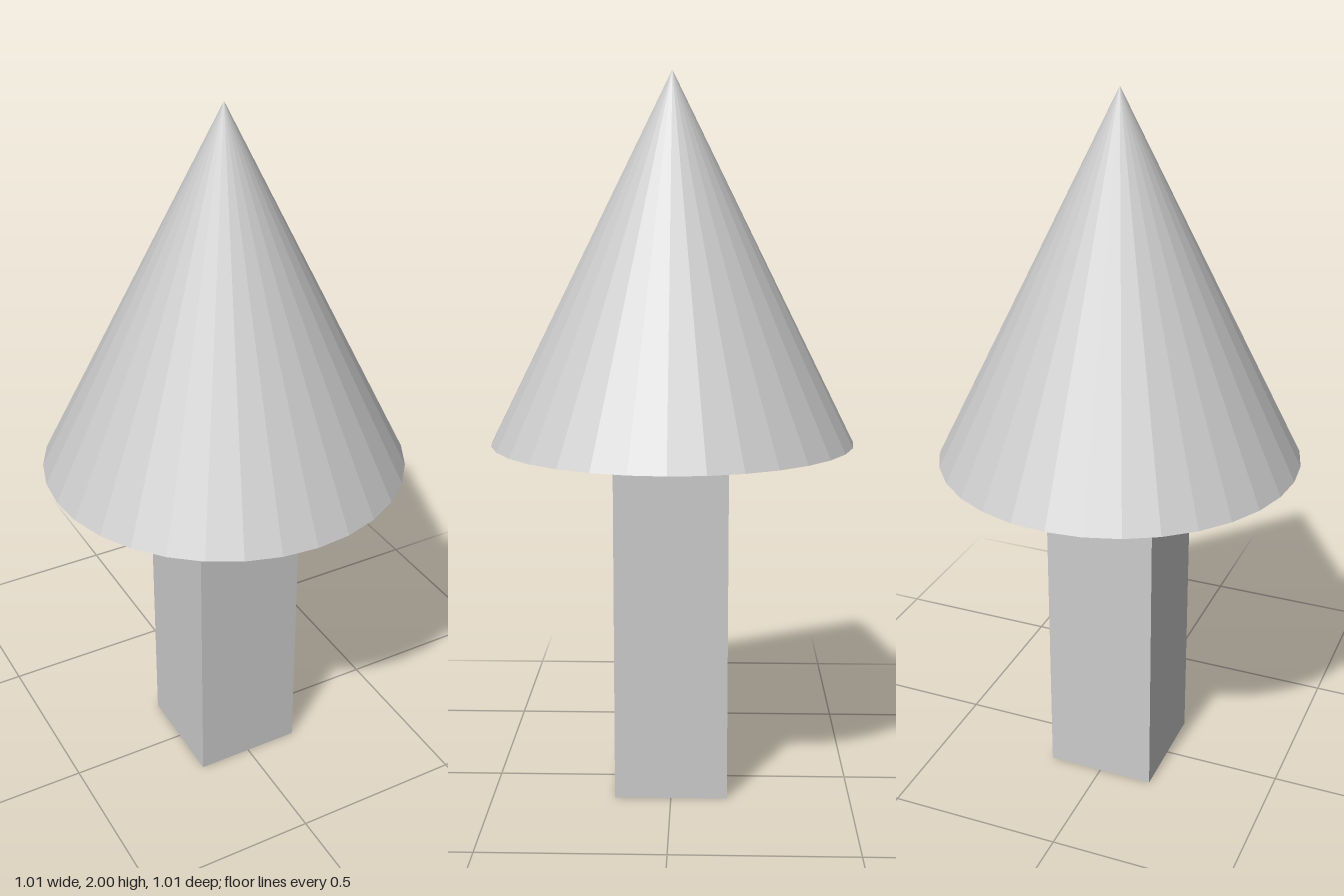
import * as THREE from 'three';

export function createModel() {
  const group = new THREE.Group();
  const material = new THREE.MeshStandardMaterial({ color: 0xcccccc, flatShading: true });
  const shaftHeight = 0.99, shaftWidth = 0.314;
  const headHeight = 2 - shaftHeight, headRadius = 0.504;

  // Square shaft standing on the ground
  const shaft = new THREE.Mesh(new THREE.BoxGeometry(shaftWidth, shaftHeight, shaftWidth), material);
  shaft.name = 'shaft';
  shaft.position.y = shaftHeight / 2;

  // Faceted cone head with a closed base
  const head = new THREE.Mesh(new THREE.ConeGeometry(headRadius, headHeight, 32), material);
  head.name = 'coneHead';
  head.position.y = shaftHeight + headHeight / 2;

  group.add(shaft, head);
  return group;
}
